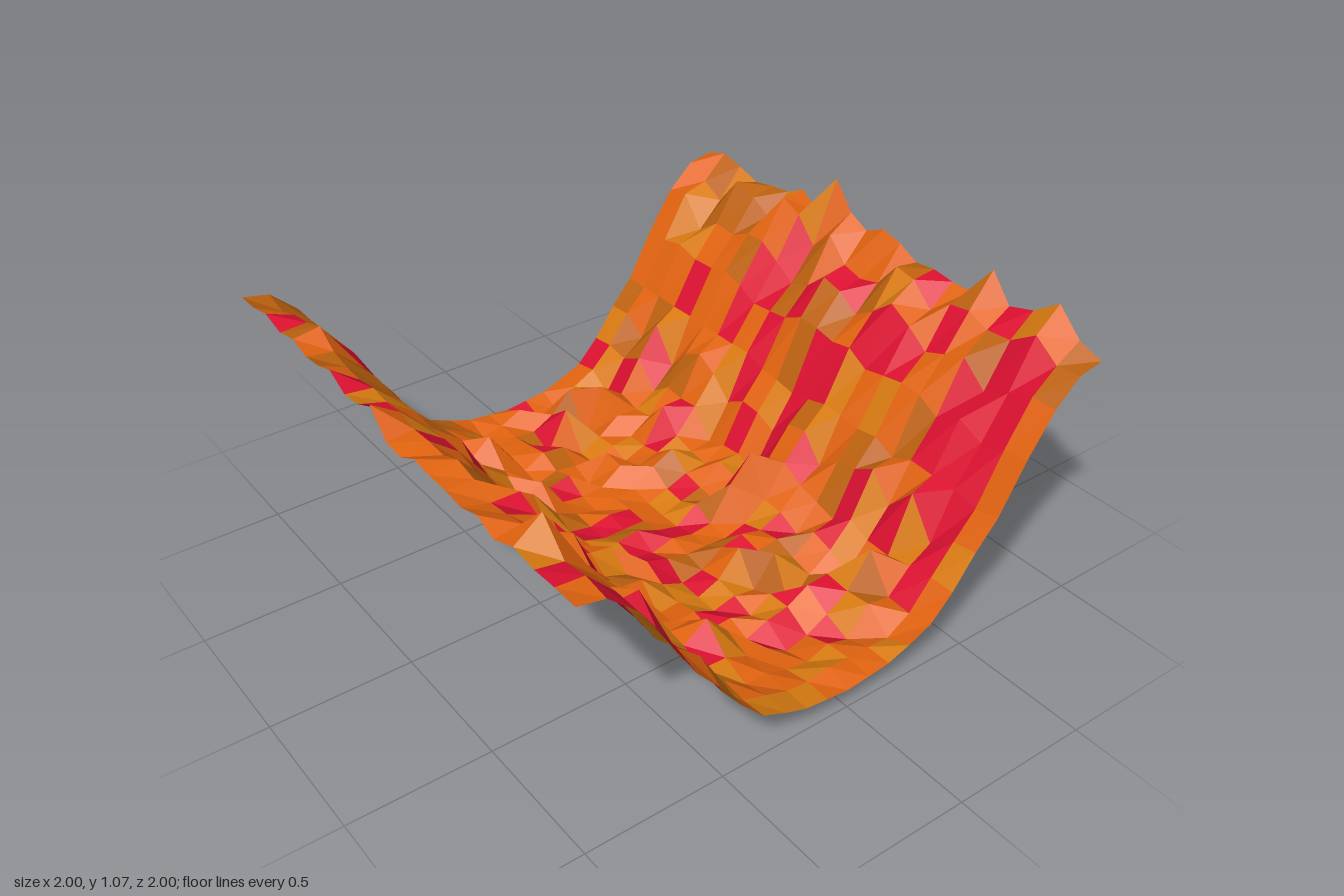
import * as THREE from 'three';

// Grid lines from the centre outwards, used for both x and z (finer in the middle)
const HALF = [0, 0.086, 0.171, 0.257, 0.347, 0.433, 0.519, 0.605, 0.706, 0.807, 0.904, 1];
const LINES = [...HALF.slice(1).reverse().map((v) => -v), ...HALF];
const N = LINES.length - 1;

// Valley cross-section and the range the bumps reach, from the back (z = -1) to the front
const BASE_HALF = [0.07, 0.08, 0.09, 0.12, 0.16, 0.25, 0.37, 0.47, 0.65, 0.8, 0.89, 0.91];
const LOW = [0.81, 0.79, 0.7, 0.6, 0.43, 0.28, 0.14, 0.11, 0.08, 0.03, 0.03, 0.02,
  0.04, 0.06, 0.06, 0.13, 0.22, 0.35, 0.45, 0.6, 0.78, 0.85, 0.85];
const HIGH = [1.07, 1, 0.88, 0.68, 0.5, 0.44, 0.31, 0.33, 0.3, 0.23, 0.2, 0.13,
  0.13, 0.22, 0.3, 0.25, 0.34, 0.48, 0.5, 0.73, 0.89, 1, 0.96];

// Heights of the jagged back ridge
const RIDGE = [0.91, 0.94, 0.92, 0.89, 0.91, 0.92, 0.96, 0.9, 1.07, 0.97, 0.93, 0.97,
  0.95, 0.91, 0.92, 0.91, 0.91, 1.03, 0.93, 0.96, 1.03, 0.94, 0.91];

// Red patches: one word per row, each letter a column
const COLUMNS = 'abcdefghijklmnopqrstuv';
const RED = ['os', 'hklqtu', 'ghjnopstu', 'dgilmstu', 'iltu', 'djlnqsu', 'acglqu', 'glo',
  'jns', 'lort', 'acls', 'djloqs', 'gjlmnq', 'j', 's', 'djlqt', 'acjoqsu', 'cdgkstu',
  'cgkstv', 'cdeq', 'clqv', 'chju'];

const COLORS = { orangeGround: 0xe0620f, amberGround: 0xd87a10, ochreGround: 0xbd610f, redGround: 0xdc1030 };

function seeded(seed) {
  let s = seed;
  return () => {
    s = (s * 16807) % 2147483647;
    return s / 2147483647;
  };
}

export function createModel() {
  const group = new THREE.Group();
  group.name = 'valleyTerrain';
  const random = seeded(4217);

  // Height field: the sides stay smooth, the inside is bumpy
  const height = LINES.map((z, j) => LINES.map((x, i) => {
    const base = BASE_HALF[Math.abs(j - N / 2)];
    const r = random() * 2 - 1;
    if (j === 0) return RIDGE[i];
    if (i === 0 || i === N) return base;
    return r < 0 ? base + (base - LOW[j]) * r : base + (HIGH[j] - base) * r ** 3;
  }));
  height[9][17] = 0; // deepest point of the floor

  // Sort the cells into one mesh per colour
  const cells = { orangeGround: [], amberGround: [], ochreGround: [], redGround: [] };
  const point = (i, j) => [LINES[i], height[j][i], LINES[j]];
  for (let j = 0; j < N; j++) {
    for (let i = 0; i < N; i++) {
      const r = random();
      const tone = r < 0.58 ? 'orangeGround' : r < 0.82 ? 'amberGround' : 'ochreGround';
      const name = RED[j].includes(COLUMNS[i]) ? 'redGround' : tone;
      const a = point(i, j), b = point(i, j + 1), c = point(i + 1, j + 1), d = point(i + 1, j);
      cells[name].push(...a, ...b, ...d, ...b, ...c, ...d);
    }
  }

  for (const [name, positions] of Object.entries(cells)) {
    const geometry = new THREE.BufferGeometry();
    geometry.setAttribute('position', new THREE.Float32BufferAttribute(positions, 3));
    geometry.computeVertexNormals();
    const material = new THREE.MeshStandardMaterial({
      color: COLORS[name], flatShading: true, side: THREE.DoubleSide,
    });
    const mesh = new THREE.Mesh(geometry, material);
    mesh.name = name;
    group.add(mesh);
  }
  return group;
}
